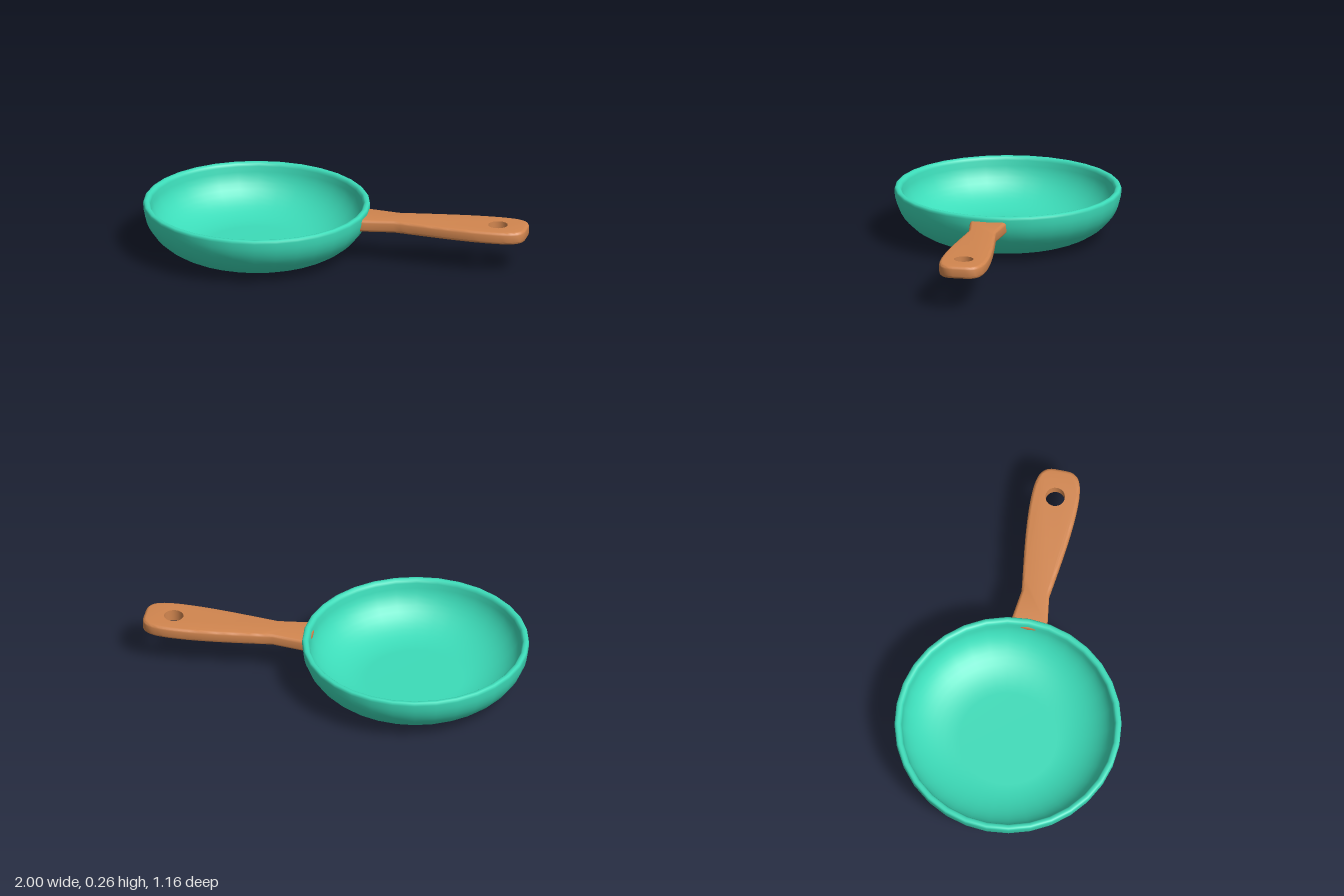
import * as THREE from 'three';
import { toCreasedNormals } from 'three/addons/utils/BufferGeometryUtils.js';

// Points of a quarter ellipse from the flat floor (radius flat, height floor) up the wall
function wall(flat, floor, width, height, steps = 12) {
  return Array.from({ length: steps + 1 }, (_, i) => {
    const a = (i / steps) * Math.PI / 2;
    return new THREE.Vector2(flat + width * Math.sin(a), floor + height * (1 - Math.cos(a)));
  });
}

export function createModel() {
  const group = new THREE.Group();
  const teal = new THREE.MeshStandardMaterial({ color: 0x3cdcb9 });
  teal.name = 'teal enamel';
  const wood = new THREE.MeshStandardMaterial({ color: 0xd2864f });
  wood.name = 'warm wood';

  // Pan: outer wall up, over the rounded rim and down the inner wall
  const rim = [[0.581, 0.257], [0.576, 0.263], [0.567, 0.265], [0.557, 0.263], [0.55, 0.257]];
  const profile = [
    new THREE.Vector2(0, 0),
    ...wall(0.275, 0, 0.307, 0.247),
    ...rim.map(([r, y]) => new THREE.Vector2(r, y)),
    ...wall(0.25, 0.028, 0.295, 0.217).reverse(),
    new THREE.Vector2(0, 0.028),
  ];
  const pan = new THREE.Mesh(new THREE.LatheGeometry(profile, 32), teal);
  pan.name = 'pan';
  pan.position.x = -0.419;
  group.add(pan);

  // Handle outline: flared root, narrow neck, wide rounded end
  const outline = new THREE.Shape();
  outline.moveTo(0.12, -0.097);
  outline.lineTo(0.17, -0.092);
  outline.lineTo(0.315, -0.072);
  outline.bezierCurveTo(0.46, -0.09, 0.66, -0.122, 0.82, -0.122);
  outline.bezierCurveTo(0.94, -0.122, 1, -0.105, 1, -0.03);
  outline.lineTo(1, 0.03);
  outline.bezierCurveTo(1, 0.105, 0.94, 0.122, 0.82, 0.122);
  outline.bezierCurveTo(0.66, 0.122, 0.46, 0.09, 0.315, 0.072);
  outline.lineTo(0.17, 0.092);
  outline.lineTo(0.12, 0.097);
  outline.closePath();
  // Hanging hole
  const holeX = 0.847, holeR = 0.05;
  const hole = new THREE.Path();
  hole.absarc(holeX, 0, holeR, 0, Math.PI * 2, true);
  outline.holes.push(hole);

  const bevel = 0.015;
  const geometry = new THREE.ExtrudeGeometry(outline, {
    depth: 0.064 - 2 * bevel, curveSegments: 12,
    bevelThickness: bevel, bevelSize: bevel, bevelOffset: -bevel, bevelSegments: 3,
  });
  // Keep the hole a straight bore, without the bevel of the outer edge
  const p = geometry.attributes.position;
  for (let i = 0; i < p.count; i++) {
    const dx = p.getX(i) - holeX, dy = p.getY(i), d = Math.hypot(dx, dy);
    if (d < holeR + bevel + 0.01) p.setXY(i, holeX + dx * holeR / d, dy * holeR / d);
  }
  geometry.rotateX(-Math.PI / 2);
  const handle = new THREE.Mesh(toCreasedNormals(geometry, 0.6), wood);
  handle.name = 'handle';
  handle.position.y = 0.174 + bevel;
  group.add(handle);

  return group;
}
